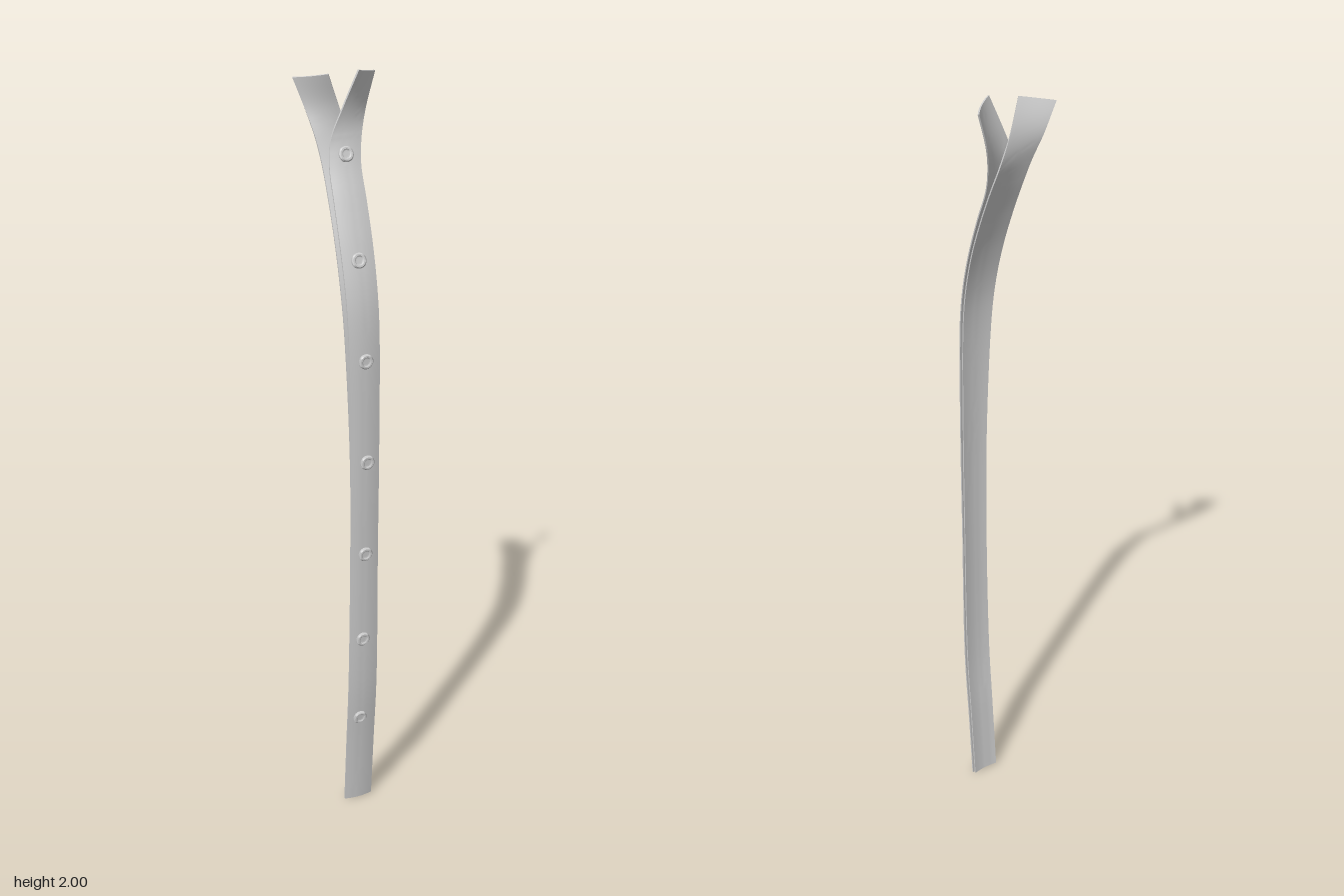
import * as THREE from 'three';
import { toCreasedNormals } from 'three/addons/utils/BufferGeometryUtils.js';

const material = new THREE.MeshStandardMaterial({ color: 0xcccccc, side: THREE.DoubleSide });
const V = (x, y, z) => new THREE.Vector3(x, y, z);
const ROWS = 90, COLS = 8;

// Surface point and outward normal of a band spanned between two edge curves.
function bandSampler(left, right, bulge) {
  const a = new THREE.CatmullRomCurve3(left.map(p => V(...p)));
  const b = new THREE.CatmullRomCurve3(right.map(p => V(...p)));
  return (t, u) => {
    const p = a.getPoint(t), q = b.getPoint(t);
    const along = a.getTangent(t).add(b.getTangent(t));
    const normal = q.clone().sub(p).cross(along).normalize();
    const point = p.lerp(q, u).addScaledVector(normal, bulge * (1 - (2 * u - 1) ** 2));
    return { point, normal };
  };
}

// Thin closed cloth slab: a ring of front and back points for every row.
function bandGeometry(sample, thickness) {
  const pos = [], index = [], ring = 2 * (COLS + 1);
  for (let r = 0; r <= ROWS; r++) {
    for (let k = 0; k < ring; k++) {
      const back = k > COLS, c = back ? ring - 1 - k : k;
      const { point, normal } = sample(r / ROWS, c / COLS);
      if (back) point.addScaledVector(normal, -thickness);
      pos.push(point.x, point.y, point.z);
    }
  }
  for (let r = 0; r < ROWS; r++) {
    for (let k = 0; k < ring; k++) {
      const a = r * ring + k, b = r * ring + (k + 1) % ring;
      index.push(a, b, b + ring, a, b + ring, a + ring);
    }
  }
  // End caps
  const top = ROWS * ring;
  for (let c = 0; c < COLS; c++) {
    const d = ring - 1 - c;
    index.push(c, d, d - 1, c, d - 1, c + 1);
    index.push(top + c, top + d - 1, top + d, top + c, top + c + 1, top + d - 1);
  }
  const g = new THREE.BufferGeometry();
  g.setAttribute('position', new THREE.Float32BufferAttribute(pos, 3));
  g.setIndex(index);
  return toCreasedNormals(g, 0.7);
}

// Round button with a raised rim and a dished centre
function buttonGeometry() {
  const profile = [[0, 0.004], [0.006, 0.004], [0.009, 0.005], [0.012, 0.008],
    [0.016, 0.008], [0.019, 0.005], [0.019, 0.001], [0.017, -0.001], [0, -0.001]];
  const g = new THREE.LatheGeometry(profile.map(p => new THREE.Vector2(...p)).reverse(), 24);
  return toCreasedNormals(g.rotateX(Math.PI / 2), 0.7);
}

export function createModel() {
  const group = new THREE.Group();
  const add = (name, geometry, parent = group) => {
    const mesh = new THREE.Mesh(geometry, material);
    mesh.name = name;
    parent.add(mesh);
    return mesh;
  };

  // Front band, turning out to the left at the neck
  const front = bandSampler(
    [[-0.03, 0, 0.031], [-0.032, 0.2, 0.05], [-0.034, 0.4, 0.07], [-0.035, 0.8, 0.084],
      [-0.037, 1.1, 0.089], [-0.042, 1.4, 0.086], [-0.044, 1.5, 0.073], [-0.045, 1.6, 0.045],
      [-0.044, 1.7, 0.006], [-0.041, 1.78, -0.029], [-0.03, 1.84, -0.046],
      [0, 1.91, -0.046], [0.035, 2, -0.03]],
    [[0.051, 0, 0.029], [0.05, 0.2, 0.047], [0.048, 0.4, 0.067], [0.043, 0.8, 0.08],
      [0.042, 1.1, 0.085], [0.041, 1.4, 0.083], [0.04, 1.5, 0.071], [0.04, 1.6, 0.044],
      [0.04, 1.7, 0.006], [0.041, 1.78, -0.03], [0.053, 1.84, -0.055],
      [0.074, 1.9, -0.079], [0.104, 1.985, -0.092]], 0.005);
  add('frontBand', bandGeometry(front, 0.004));

  // Back band, lying behind and turning out to the right
  const back = bandSampler(
    [[-0.027, 0, 0.025], [-0.028, 0.2, 0.044], [-0.029, 0.4, 0.064], [-0.031, 0.8, 0.077],
      [-0.036, 1.1, 0.081], [-0.049, 1.4, 0.078], [-0.053, 1.5, 0.066], [-0.054, 1.6, 0.038],
      [-0.054, 1.7, -0.002], [-0.056, 1.79, -0.042], [-0.064, 1.85, -0.065],
      [-0.08, 1.91, -0.087], [-0.106, 1.982, -0.098]],
    [[0.047, 0, 0.023], [0.046, 0.2, 0.041], [0.044, 0.4, 0.061], [0.04, 0.8, 0.074],
      [0.038, 1.1, 0.079], [0.036, 1.4, 0.077], [0.036, 1.5, 0.064], [0.036, 1.6, 0.037],
      [0.036, 1.7, -0.003], [0.035, 1.78, -0.04], [0.026, 1.84, -0.062],
      [0, 1.91, -0.065], [-0.035, 1.992, -0.05]], 0.004);
  add('backBand', bandGeometry(back, 0.004));

  // Buttons, seated on the front band and facing along its normal
  const buttons = new THREE.Group();
  buttons.name = 'buttons';
  group.add(buttons);
  const shape = buttonGeometry();
  const places = [[0, 0.285], [0, 0.54], [0.003, 0.795], [0.005, 1.055], [0, 1.325], [-0.005, 1.57], [0.002, 1.805]];
  places.forEach(([x, y], i) => {
    let lo = 0, hi = 1;
    for (let n = 0; n < 24; n++) {
      const mid = (lo + hi) / 2;
      if (front(mid, 0.5).point.y < y) lo = mid; else hi = mid;
    }
    const l = front(lo, 0).point.x, r = front(lo, 1).point.x;
    const { point, normal } = front(lo, (x - l) / (r - l));
    const b = add('button' + (i + 1), shape, buttons);
    b.position.copy(point);
    b.lookAt(point.clone().add(normal));
  });
  return group;
}
